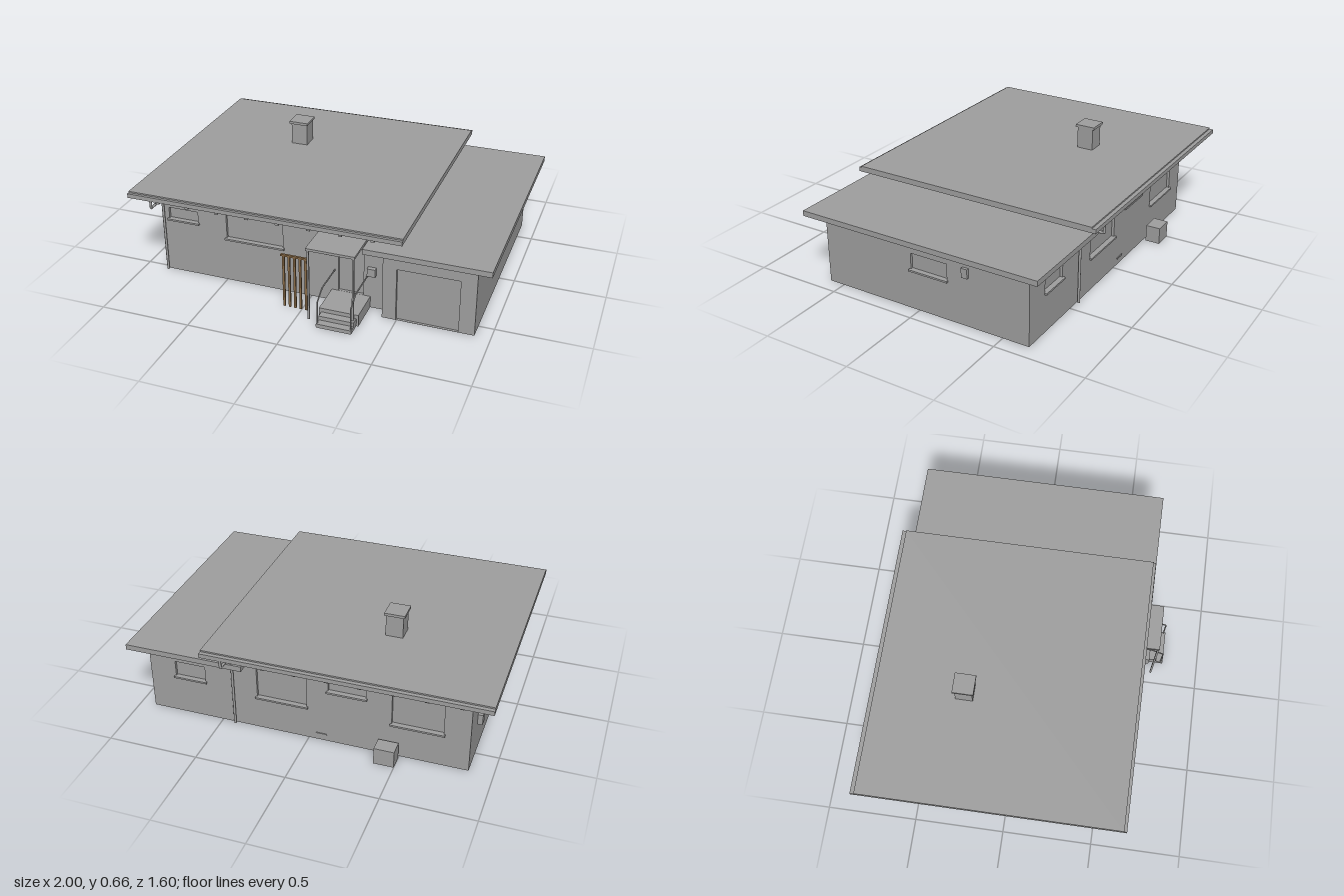
import * as THREE from 'three';

export function createModel() {
  const model = new THREE.Group();
  model.name = 'house';
  const grey = new THREE.MeshStandardMaterial({ color: 0xa0a0a0, side: THREE.DoubleSide });
  grey.name = 'plain grey';
  const wood = new THREE.MeshStandardMaterial({ color: 0x8a6c48 });
  wood.name = 'brown wood';

  const add = (name, geo, mat = grey, parent = model) => {
    const m = new THREE.Mesh(geo, mat);
    m.name = name;
    parent.add(m);
    return m;
  };
  // Box given by its limits on each axis
  const box = (name, x0, x1, y0, y1, z0, z1, mat, parent) => {
    const m = add(name, new THREE.BoxGeometry(x1 - x0, y1 - y0, z1 - z0), mat, parent);
    m.position.set((x0 + x1) / 2, (y0 + y1) / 2, (z0 + z1) / 2);
    return m;
  };
  // Straight round bar between two points
  const bar = (name, a, b, r) => {
    const p = new THREE.Vector3(...a), q = new THREE.Vector3(...b);
    const d = q.clone().sub(p);
    const m = add(name, new THREE.CylinderGeometry(r, r, d.length(), 8), grey);
    m.position.copy(p).add(q).multiplyScalar(0.5);
    m.quaternion.setFromUnitVectors(new THREE.Vector3(0, 1, 0), d.normalize());
  };
  const bars = (name, pts, r) => {
    for (let i = 1; i < pts.length; i++) bar(name, pts[i - 1], pts[i], r);
  };

  // Wall sheet facing local +z, with recessed openings [x0, x1, y0, y1, hasSill]
  const wall = (name, x0, x1, y0, y1, openings, pos, turn) => {
    const g = new THREE.Group();
    g.name = name;
    g.position.set(...pos);
    g.rotation.y = turn;
    model.add(g);
    const rect = (T, a, b, c, d) => {
      const s = new T();
      s.moveTo(a, c); s.lineTo(b, c); s.lineTo(b, d); s.lineTo(a, d); s.closePath();
      return s;
    };
    const shape = rect(THREE.Shape, x0, x1, y0, y1);
    const depth = 0.015;
    for (const [a, b, c, d, sill] of openings) {
      shape.holes.push(rect(THREE.Path, a, b, c, d));
      const w = b - a, h = d - c, cx = (a + b) / 2, cy = (c + d) / 2;
      add('openingPanel', new THREE.PlaneGeometry(w, h), grey, g).position.set(cx, cy, -depth);
      for (const s of [-1, 1]) {
        const side = add('reveal', new THREE.PlaneGeometry(depth, h), grey, g);
        side.position.set(cx + s * w / 2, cy, -depth / 2);
        side.rotation.y = -s * Math.PI / 2;
        const edge = add('reveal', new THREE.PlaneGeometry(w, depth), grey, g);
        edge.position.set(cx, cy + s * h / 2, -depth / 2);
        edge.rotation.x = s * Math.PI / 2;
      }
      if (sill) box('windowSill', a - 0.008, b + 0.008, c - 0.01, c, -0.005, 0.014, grey, g);
    }
    add(name + 'Sheet', new THREE.ShapeGeometry(shape), grey, g);
  };

  // Outer walls, open underneath
  const H = Math.PI / 2;
  wall('frontWall', -0.87, 0.42, 0, 0.49, [
    [-0.835, -0.66, 0.325, 0.39, true],
    [-0.49, -0.16, 0.265, 0.405, true],
    [0.155, 0.295, 0.068, 0.365, false],
  ], [0, 0, 0.52], 0);
  wall('garageFrontWall', 0.42, 0.915, 0, 0.405, [[0.495, 0.83, 0.001, 0.305, false]], [0, 0, 0.59], 0);
  wall('garageSideWall', -0.59, 0.65, 0, 0.405, [[-0.045, 0.175, 0.23, 0.32, true]], [0.915, 0, 0], H);
  wall('garageStepWall', 0.52, 0.59, 0, 0.405, [], [0.42, 0, 0], -H);
  wall('upperSideWall', -0.52, 0.65, 0.405, 0.49, [], [0.42, 0, 0], H);
  wall('leftWall', -0.65, 0.52, 0, 0.49, [
    [-0.35, -0.11, 0.2, 0.395, true],
    [0.08, 0.34, 0.325, 0.39, true],
  ], [-0.87, 0, 0], -H);
  wall('backWall', -0.42, 0.87, 0, 0.49, [
    [-0.29, -0.01, 0.2, 0.4, true],
    [0.11, 0.315, 0.325, 0.39, true],
    [0.455, 0.73, 0.2, 0.4, true],
  ], [0, 0, -0.65], Math.PI);
  wall('garageBackWall', -0.915, -0.42, 0, 0.405, [[-0.765, -0.59, 0.23, 0.32, true]], [0, 0, -0.65], Math.PI);

  // Roofs and gutters
  box('mainRoof', -1, 0.54, 0.488, 0.52, -0.778, 0.645);
  box('frontGutter', -1, 0.54, 0.488, 0.512, 0.645, 0.66);
  box('backGutter', -1, 0.54, 0.488, 0.512, -0.8, -0.778);
  box('garageRoof', 0.335, 1, 0.405, 0.435, -0.74, 0.667);

  // Exposed rafter ends under both eaves
  for (let i = 0; i < 8; i++) {
    const x = -0.838 + i * 0.1735;
    box('frontRafter', x - 0.01, x + 0.01, 0.463, 0.487, 0.51, 0.632);
    box('backRafter', x - 0.01, x + 0.01, 0.463, 0.487, -0.77, -0.64);
  }

  // Chimney
  box('chimney', -0.415, -0.32, 0.52, 0.645, -0.335, -0.24);
  box('chimneyCap', -0.425, -0.313, 0.645, 0.66, -0.345, -0.23);

  // Downpipes, stepping from the gutter back to the wall
  bars('frontDownpipe', [[-0.865, 0.49, 0.653], [-0.865, 0.445, 0.653], [-0.865, 0.445, 0.53], [-0.865, 0, 0.53]], 0.007);
  bars('backDownpipe', [[0.425, 0.49, -0.79], [0.425, 0.442, -0.79], [0.425, 0.442, -0.66], [0.425, 0, -0.66]], 0.007);

  // Porch canopy on slim posts
  box('canopy', 0.055, 0.32, 0.41, 0.424, 0.52, 0.738);
  for (const x of [0.067, 0.31]) box('canopyPost', x - 0.005, x + 0.005, 0, 0.41, 0.726, 0.736);

  // Entrance steps and handrails
  box('landing', 0.117, 0.333, 0, 0.067, 0.52, 0.713);
  box('middleStep', 0.13, 0.322, 0, 0.045, 0.713, 0.755);
  box('lowerStep', 0.13, 0.322, 0, 0.022, 0.755, 0.795);
  for (const x of [0.135, 0.317])
    bars('handrail', [[x, 0.02, 0.783], [x, 0.147, 0.783], [x, 0.192, 0.71], [x, 0.192, 0.52]], 0.004);

  // Wooden slat screen
  for (let i = 0; i < 5; i++) {
    const x = -0.1 + i * 0.031;
    box('screenSlat', x - 0.006, x + 0.006, 0, 0.306, 0.653, 0.663, wood);
  }
  box('screenRail', -0.115, 0.04, 0.305, 0.316, 0.652, 0.664, wood);

  // Small fixtures on the walls and the outdoor unit
  box('porchLamp', 0.09, 0.125, 0.285, 0.337, 0.52, 0.54);
  box('letterBox', 0.32, 0.365, 0.203, 0.248, 0.52, 0.545);
  box('sideVent', 0.915, 0.93, 0.28, 0.333, -0.305, -0.27);
  box('meterBox', -0.897, -0.87, 0.19, 0.25, -0.5, -0.455);
  box('tap', -0.884, -0.87, 0.088, 0.105, 0.38, 0.4);
  box('floorVent', -0.1, -0.04, 0.035, 0.043, -0.655, -0.65);
  box('outdoorUnit', -0.5, -0.39, 0, 0.097, -0.75, -0.667);

  return model;
}
